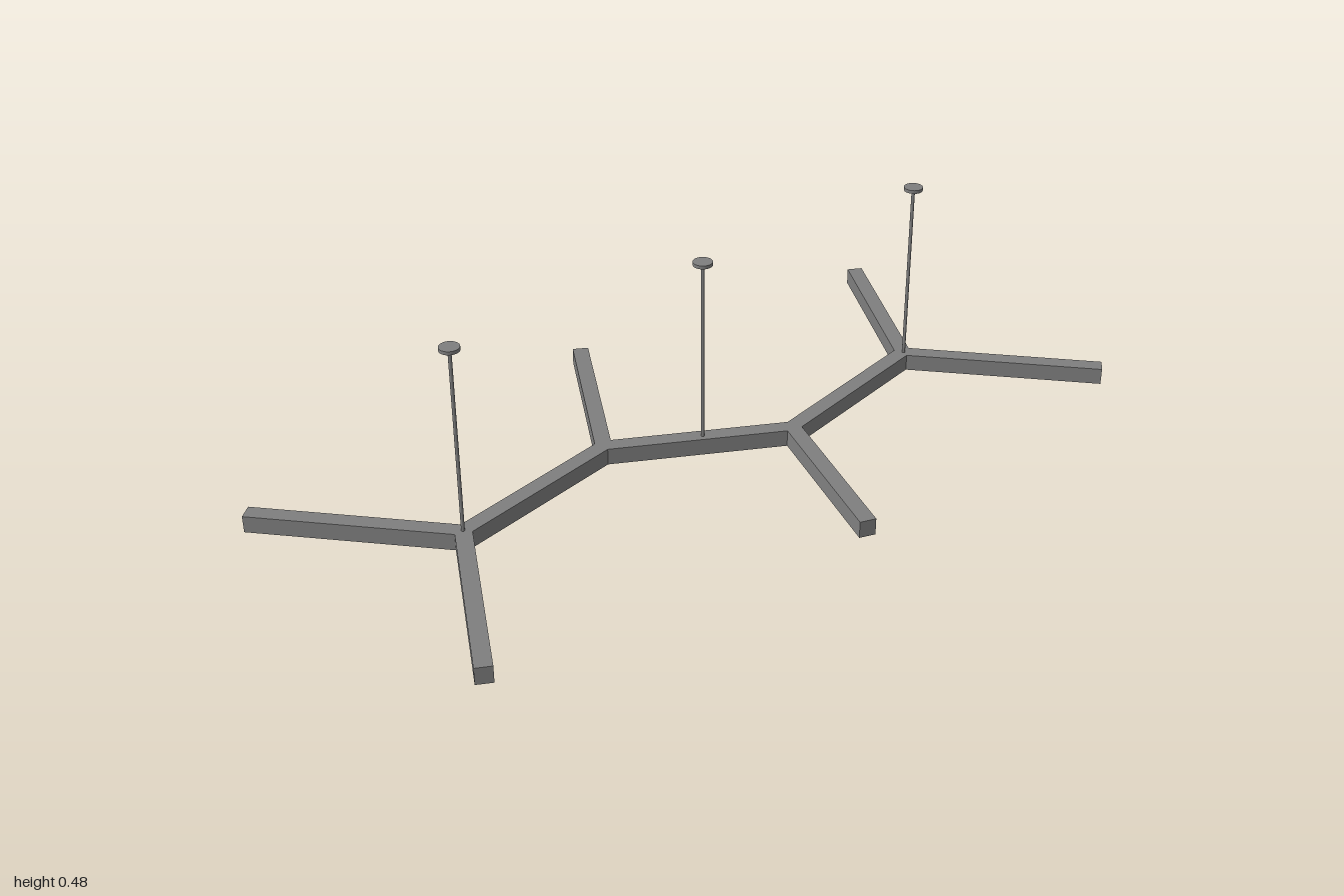
import * as THREE from 'three';

const HALF = 0.0188;  // half the width of a bar
const HEIGHT = 0.04;  // height of a bar
const TOP = 0.481;    // top of the ceiling discs

// Plan of the branching frame: [x, z] of every joint and free end
const NODES = {
  a: [-0.622, 0.063], b: [-0.211, -0.074], c: [0.197, 0.079], d: [0.621, -0.068],
  a1: [-0.988, -0.241], a2: [-0.783, 0.493],
  b1: [-0.044, -0.493], c1: [0.121, 0.478],
  d1: [0.781, -0.493], d2: [0.988, 0.24],
};
const BARS = ['a b', 'b c', 'c d', 'a a1', 'a a2', 'b b1', 'c c1', 'd d1', 'd d2'].map(s => s.split(' '));

// Plan point as a shape point (shape y is -z)
const point = name => new THREE.Vector2(NODES[name][0], -NODES[name][1]);
const direction = (from, to) => point(to).sub(point(from)).normalize();

// Corners where a bar meets its node, from the bar's left side to its right
function endCorners(node, other) {
  const u = direction(node, other);
  const arms = BARS.filter(b => b.includes(node))
    .map(b => direction(node, b[0] === node ? b[1] : b[0]))
    .sort((p, q) => p.angle() - q.angle());
  const p = point(node);
  if (arms.length === 1) {
    // free end, cut square
    const side = new THREE.Vector2(-u.y, u.x).multiplyScalar(HALF);
    return [p.clone().add(side), p.clone().sub(side)];
  }
  // joint, mitred against the neighbouring arms
  const i = arms.findIndex(v => v.distanceTo(u) < 1e-6);
  const mitre = (v, w) => p.clone().addScaledVector(v.clone().add(w), HALF / v.cross(w));
  const next = arms[(i + 1) % arms.length];
  const previous = arms[(i + arms.length - 1) % arms.length];
  return [mitre(u, next), p, mitre(previous, u)];
}

export function createModel() {
  const model = new THREE.Group();
  model.name = 'branchingPendantLight';
  const material = new THREE.MeshStandardMaterial({ color: 0x7f7f7f });

  // Square bars with mitred joints
  const frame = new THREE.Group();
  frame.name = 'lightFrame';
  for (const [from, to] of BARS) {
    const shape = new THREE.Shape([...endCorners(from, to), ...endCorners(to, from)]);
    const geometry = new THREE.ExtrudeGeometry(shape, { depth: HEIGHT, bevelEnabled: false });
    geometry.rotateX(-Math.PI / 2);
    const bar = new THREE.Mesh(geometry, material);
    bar.name = to.length > 1 ? 'branchBar' : 'spineBar';
    frame.add(bar);
  }
  model.add(frame);

  // Hanging rods, each with a small ceiling disc
  const rodGeometry = new THREE.CylinderGeometry(0.004, 0.004, TOP - HEIGHT, 16);
  const discGeometry = new THREE.CylinderGeometry(0.022, 0.022, 0.008, 32);
  for (const [x, z] of [[-0.623, 0.064], [0, 0.008], [0.621, -0.065]]) {
    const hanger = new THREE.Group();
    hanger.name = 'hanger';
    hanger.position.set(x, 0, z);
    const rod = new THREE.Mesh(rodGeometry, material);
    rod.name = 'hangingRod';
    rod.position.y = (TOP + HEIGHT) / 2 - 0.003;
    const disc = new THREE.Mesh(discGeometry, material);
    disc.name = 'ceilingDisc';
    disc.position.y = TOP - 0.004;
    hanger.add(rod, disc);
    model.add(hanger);
  }
  return model;
}
